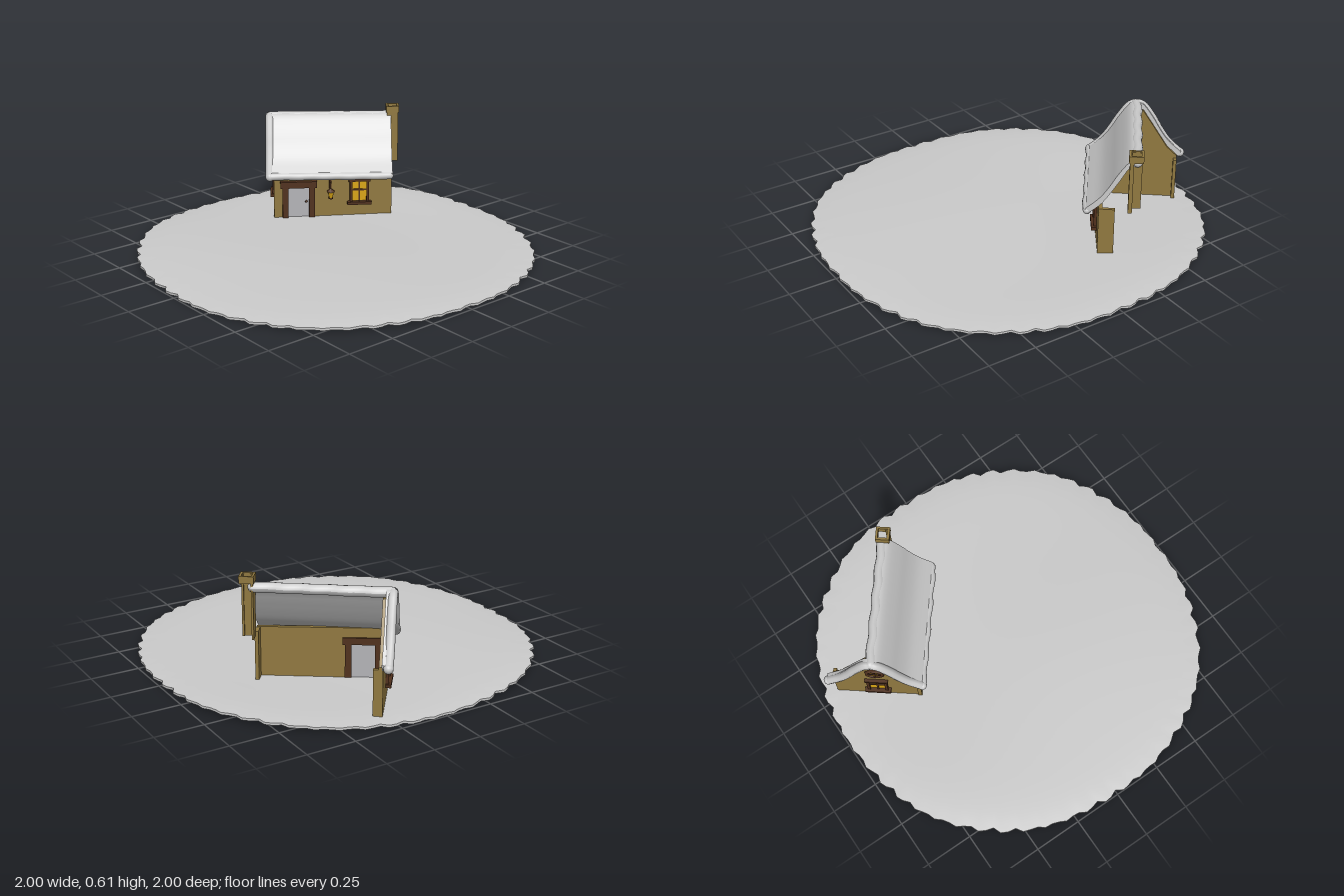
import * as THREE from 'three';
import { mergeVertices, toCreasedNormals } from 'three/addons/utils/BufferGeometryUtils.js';

const mat = (color) => new THREE.MeshStandardMaterial({ color, side: THREE.DoubleSide });
const snow = mat(0xcccccc);
const plaster = mat(0x917940);
const wood = mat(0x50301c);
const glass = mat(0xd9a514);
const grey = mat(0xb4b4b8);

function add(parent, name, geometry, material, x = 0, y = 0, z = 0) {
  const m = new THREE.Mesh(geometry, material);
  m.name = name;
  m.position.set(x, y, z);
  parent.add(m);
  return m;
}
const box = (parent, name, material, w, h, d, x, y, z) =>
  add(parent, name, new THREE.BoxGeometry(w, h, d), material, x, y, z);

function group(parent, name, x = 0, y = 0, z = 0, turn = 0) {
  const g = new THREE.Group();
  g.name = name;
  g.position.set(x, y, z);
  g.rotation.y = turn;
  parent.add(g);
  return g;
}

function smooth(geometry, angle) {
  geometry.deleteAttribute('uv');
  geometry.deleteAttribute('normal');
  return toCreasedNormals(mergeVertices(geometry, 1e-4), angle);
}

// Thin, gently rolling disc of snow with a ragged rim
function snowGround() {
  const steps = 22, sides = 168, profile = [];
  for (let i = 0; i <= steps; i++) profile.push(new THREE.Vector2(i / steps, -0.012));
  for (let i = steps; i >= 0; i--) profile.push(new THREE.Vector2(i / steps, 0));
  const geo = new THREE.LatheGeometry(profile, sides);
  const p = geo.attributes.position;
  for (let i = 0; i < p.count; i++) {
    let x = p.getX(i), z = p.getZ(i);
    const r = Math.hypot(x, z), a = Math.atan2(z, x);
    const k = (Math.round(a / (2 * Math.PI) * sides) + sides) % sides;
    const e = 2.2;
    const round = 1 / Math.pow(Math.abs(Math.cos(a)) ** e + Math.abs(Math.sin(a)) ** e, 1 / e);
    const tooth = ((k % 3) / 2 - 1) * (0.016 + 0.008 * Math.sin(k * 1.7));
    const s = round + tooth * Math.pow(r, 16);
    x *= s;
    z *= s;
    const h = 0.039 + 0.006 * Math.sin(3.2 * x + 1) * Math.cos(2.6 * z)
      + 0.006 * Math.sin(4 * z + x) - 0.013 * Math.pow(r, 10);
    p.setXYZ(i, x, p.getY(i) + h, z);
  }
  return smooth(geo, 1);
}

// Four-pane window with timber frame, facing +z
function squareWindow(parent, x, y) {
  const g = group(parent, 'window', x, y, 0);
  box(g, 'pane', glass, 0.085, 0.11, 0.006, 0, 0, 0.002);
  for (const s of [-1, 1]) box(g, 'windowJamb', wood, 0.014, 0.13, 0.02, s * 0.046, 0, 0.005);
  box(g, 'windowHead', wood, 0.12, 0.018, 0.024, 0, 0.066, 0.006);
  box(g, 'windowSill', wood, 0.134, 0.016, 0.034, 0, -0.066, 0.01);
  box(g, 'mullion', wood, 0.009, 0.12, 0.01, 0, 0, 0.005);
  box(g, 'crossbar', wood, 0.085, 0.009, 0.01, 0, 0.008, 0.005);
}

function lantern(parent, x, y) {
  const g = group(parent, 'lantern', x, y, 0);
  box(g, 'bracketPlate', wood, 0.012, 0.05, 0.008, 0, 0.05, 0.004);
  box(g, 'bracketArm', wood, 0.008, 0.008, 0.035, 0, 0.065, 0.018);
  add(g, 'lanternHanger', new THREE.CylinderGeometry(0.002, 0.002, 0.035, 5), wood, 0, 0.05, 0.03);
  add(g, 'lanternCap', new THREE.ConeGeometry(0.025, 0.02, 6), wood, 0, 0.026, 0.03);
  add(g, 'lanternGlass', new THREE.CylinderGeometry(0.018, 0.012, 0.036, 6), glass, 0, 0, 0.03);
  add(g, 'lanternBase', new THREE.CylinderGeometry(0.013, 0.013, 0.008, 6), wood, 0, -0.021, 0.03);
}

// Long wall: local x runs along the wall, its outer face is at z = 0
function longWall(house) {
  const g = group(house, 'longWall', 0, 0, 0.2, 0.073);
  const wall = new THREE.Shape();
  [[-0.325, 0.012], [-0.265, 0.012], [-0.265, 0.21], [-0.115, 0.21], [-0.115, 0.012],
    [0.325, 0.012], [0.325, 0.29], [-0.325, 0.29]].forEach(([x, y], i) =>
    i ? wall.lineTo(x, y) : wall.moveTo(x, y));
  add(g, 'wall', new THREE.ExtrudeGeometry(wall, { depth: 0.02, bevelEnabled: false }), plaster, 0, 0, -0.02);
  const door = group(g, 'door', -0.19, 0, 0);
  box(door, 'doorLeaf', grey, 0.12, 0.18, 0.014, 0, 0.115, -0.01);
  for (const s of [-1, 1]) box(door, 'doorPost', wood, 0.032, 0.2, 0.045, s * 0.073, 0.118, -0.004);
  box(door, 'doorLintel', wood, 0.2, 0.036, 0.055, 0, 0.222, -0.001);
  add(door, 'doorKnob', new THREE.SphereGeometry(0.007, 10, 8), wood, 0.042, 0.12, 0.004);
  squareWindow(g, 0.145, 0.172);
  lantern(g, -0.015, 0.165);
}

// Gable wall: local x runs across the house, its outer face is at z = 0
function gableWall(house) {
  const g = group(house, 'gableWall', -0.32, 0, 0, -Math.PI / 2);
  const half = [[0.223, 0.012], [0.223, 0.27], [0.17, 0.32], [0.09, 0.445], [0.035, 0.53]];
  const shape = new THREE.Shape(
    [...half, ...half.slice().reverse().map(([x, y]) => [-x, y])].map(([x, y]) => new THREE.Vector2(x, y)));
  add(g, 'gable', new THREE.ExtrudeGeometry(shape, { depth: 0.02, bevelEnabled: false }), plaster, 0, 0, -0.02);
  squareWindow(g, 0, 0.172);
  const r = group(g, 'roundWindow', 0, 0.35, 0);
  add(r, 'roundFrame', new THREE.TorusGeometry(0.042, 0.01, 8, 8), wood, 0, 0, 0.004).rotation.z = Math.PI / 8;
  const pane = add(r, 'roundPane', new THREE.CylinderGeometry(0.042, 0.042, 0.006, 8), glass, 0, 0, 0.002);
  pane.rotation.set(Math.PI / 2, Math.PI / 8, 0);
  box(r, 'roundMullion', wood, 0.008, 0.08, 0.01, 0, 0, 0.005);
  box(r, 'roundCrossbar', wood, 0.08, 0.008, 0.01, 0, 0, 0.005);
}

// Sweeping snow roof: a full slope over the long wall, a narrow strip on the other side
function roof(house) {
  const g = group(house, 'roof', -0.345, 0, 0, -Math.PI / 2);
  const outer = [[0, 0.572], [0.03, 0.562], [0.088, 0.487], [0.13, 0.415], [0.175, 0.352], [0.245, 0.288]];
  const inner = [[0.236, 0.258], [0.17, 0.315], [0.12, 0.385], [0.08, 0.45], [0.03, 0.528], [0, 0.535]];
  const toCurve = (pts, side) =>
    new THREE.CatmullRomCurve3(pts.map(([x, y]) => new THREE.Vector3(x * side, y, 0)));
  for (const side of [1, -1]) {
    const depth = side > 0 ? 0.67 : 0.03;
    const outline = [...toCurve(outer, side).getPoints(18), ...toCurve(inner, side).getPoints(18)];
    const shape = new THREE.Shape(outline.map((v) => new THREE.Vector2(v.x, v.y)));
    const geo = new THREE.ExtrudeGeometry(shape, { depth, steps: side > 0 ? 16 : 1, bevelEnabled: false });
    add(g, side > 0 ? 'frontSlope' : 'backStrip', smooth(geo, 0.7), snow, 0, 0, -depth);
    // Rounded snow roll along the gable edge, ending in a soft tip
    const mid = outer.map(([x, y]) => [x * 0.98, y - 0.02]);
    add(g, 'gableRoll', new THREE.TubeGeometry(toCurve(mid, side), 24, 0.023, 10), snow, 0, 0, 0);
    add(g, 'eaveTip', new THREE.SphereGeometry(0.024, 12, 10), snow, side * 0.24, 0.27, 0);
  }
  // Rolls along the ridge and the front eave
  for (const [name, x, y, r] of [['ridgeRoll', 0, 0.55, 0.026], ['eaveRoll', 0.238, 0.272, 0.021]]) {
    const geo = new THREE.CapsuleGeometry(r, 0.645, 6, 12, 30);
    const p = geo.attributes.position;
    for (let i = 0; i < p.count; i++) p.setX(i, p.getX(i) + 0.003 * Math.sin(p.getY(i) * 45));
    geo.computeVertexNormals();
    add(g, name, geo, snow, x, y, -0.33).rotation.x = Math.PI / 2;
  }
}

// Hollow chimney, open to the rear below its cap
function chimney(house) {
  const g = group(house, 'chimney', 0.335, 0, 0.005);
  box(g, 'chimneyFront', plaster, 0.062, 0.31, 0.01, 0, 0.45, 0.026);
  box(g, 'chimneySide', plaster, 0.01, 0.31, 0.062, -0.026, 0.45, 0);
  box(g, 'chimneyReturn', plaster, 0.01, 0.31, 0.02, 0.026, 0.45, 0.021);
  for (const s of [-1, 1]) {
    box(g, 'capSide', plaster, 0.07, 0.036, 0.011, 0, 0.592, s * 0.03);
    box(g, 'capEnd', plaster, 0.011, 0.036, 0.07, s * 0.03, 0.592, 0);
  }
}

export function createModel() {
  const model = new THREE.Group();
  model.name = 'snowyCottage';
  add(model, 'snowGround', snowGround(), snow);
  const house = group(model, 'house', -0.517, 0, -0.402, 0.91);
  longWall(house);
  gableWall(house);
  // Short wall returns at both open ends
  box(house, 'rearReturn', plaster, 0.018, 0.275, 0.08, 0.314, 0.15, 0.138);
  box(house, 'sideReturn', plaster, 0.045, 0.245, 0.018, -0.297, 0.134, -0.214);
  roof(house);
  chimney(house);
  return model;
}
